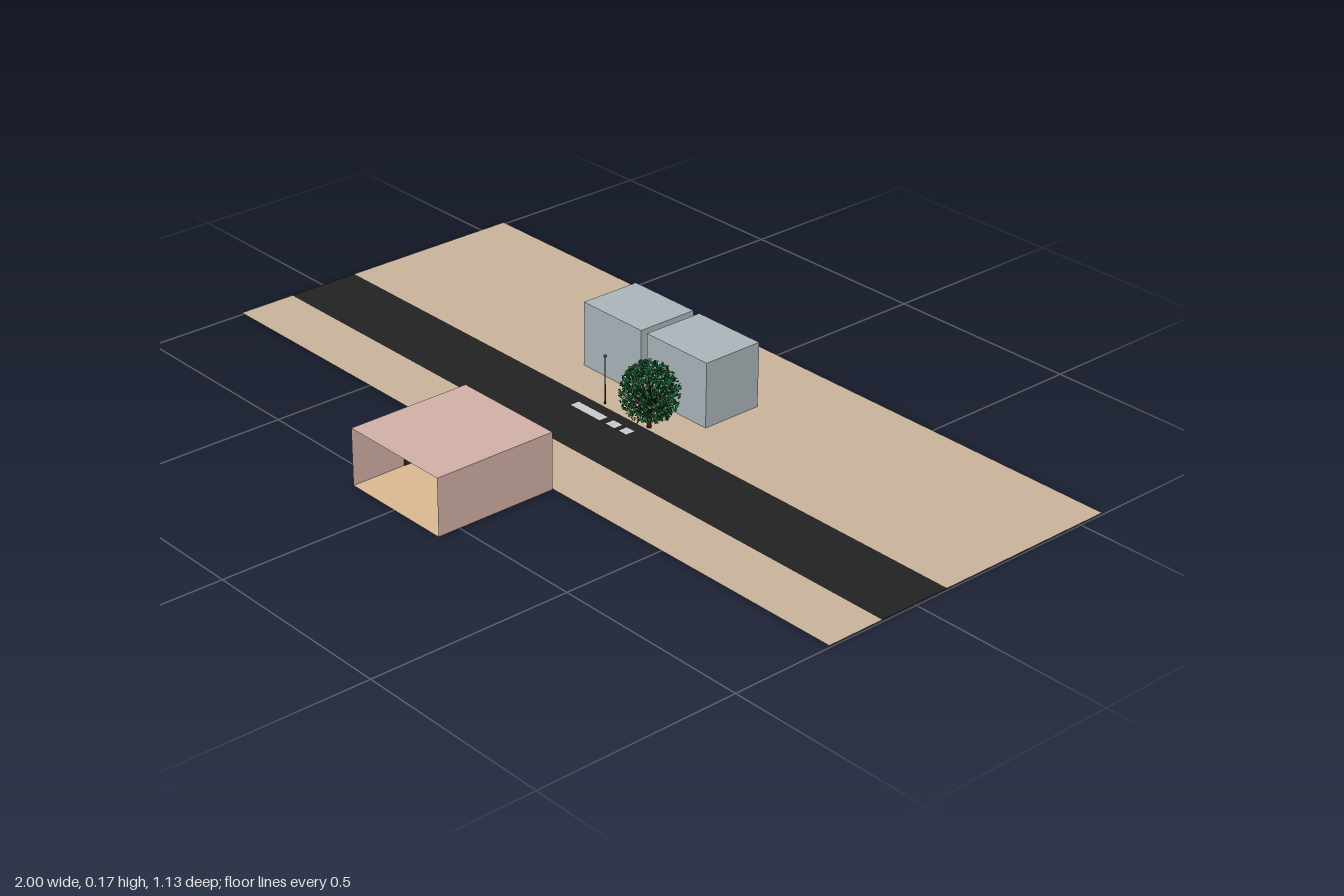
import * as THREE from 'three';
import { mergeGeometries } from 'three/addons/utils/BufferGeometryUtils.js';

const mat = (color, side = THREE.DoubleSide) => new THREE.MeshStandardMaterial({ color, side });
const TAN = mat(0xcab59c), ROAD = mat(0x222222), WHITE = mat(0xcccccc), BLUE = mat(0xabb6bb);
const PINK = mat(0xd2b1a7), FLOOR = mat(0xdcb994), WOOD = mat(0x3a2416), DARK = mat(0x2a2a2a);
const BARK = mat(0x2b1d14), LEAF = mat(0x1f7a40), LEAF_DARK = mat(0x0e4522);

function add(parent, name, geometry, material, x = 0, y = 0, z = 0) {
  const mesh = new THREE.Mesh(geometry, material);
  mesh.name = name;
  mesh.position.set(x, y, z);
  parent.add(mesh);
  return mesh;
}

// Box given by its lower and upper limits on each axis
function box(parent, name, material, [x0, x1], [y0, y1], [z0, z1]) {
  return add(parent, name, new THREE.BoxGeometry(x1 - x0, y1 - y0, z1 - z0), material,
    (x0 + x1) / 2, (y0 + y1) / 2, (z0 + z1) / 2);
}

// Flat horizontal sheet
function sheet(parent, name, material, [x0, x1], y, [z0, z1]) {
  const g = new THREE.PlaneGeometry(x1 - x0, z1 - z0).rotateX(-Math.PI / 2);
  return add(parent, name, g, material, (x0 + x1) / 2, y, (z0 + z1) / 2);
}

function rectangle(Type, x0, x1, y0, y1) {
  return new Type([[x0, y0], [x1, y0], [x1, y1], [x0, y1]].map(p => new THREE.Vector2(...p)));
}

function makeRoom() {
  const room = new THREE.Group();
  room.name = 'room';
  const X = [-0.135, 0.16], Z = [0.25, 0.563], y0 = 0.006, y1 = 0.146;
  sheet(room, 'roomFloor', FLOOR, X, y0, Z);
  sheet(room, 'roof', PINK, X, y1, Z);

  // Rear wall with a window and a doorway; the opposite side stays open
  const wall = rectangle(THREE.Shape, X[0], X[1], y0, y1);
  wall.holes.push(rectangle(THREE.Path, -0.028, 0.052, 0.062, 0.118));
  wall.holes.push(rectangle(THREE.Path, -0.133, -0.076, 0.008, 0.13));
  add(room, 'rearWall', new THREE.ShapeGeometry(wall), PINK, 0, 0, Z[0]);
  const panel = new THREE.PlaneGeometry(0.057, 0.122).rotateY(Math.PI);
  add(room, 'doorwayPanel', panel, mat(0xd2b1a7, THREE.FrontSide), -0.1045, 0.069, Z[0]);
  box(room, 'threshold', DARK, [-0.13, -0.075], [0.004, 0.0055], [0.247, 0.318]);

  // Side walls
  for (const x of X) {
    const g = new THREE.PlaneGeometry(Z[1] - Z[0], y1 - y0).rotateY(Math.PI / 2);
    add(room, 'sideWall', g, PINK, x, (y0 + y1) / 2, (Z[0] + Z[1]) / 2);
  }
  box(room, 'sideDoor', WOOD, [-0.1365, -0.1335], [y0, 0.112], [0.37, 0.425]);

  // Small outside fittings
  add(room, 'wallFitting', new THREE.SphereGeometry(0.003, 8, 6), DARK, -0.07, 0.125, 0.249);
  add(room, 'wallFitting', new THREE.SphereGeometry(0.003, 8, 6), DARK, -0.136, 0.115, 0.31);
  return room;
}

function makeTree() {
  const tree = new THREE.Group();
  tree.name = 'tree';
  let seed = 7;
  const rand = () => (seed = (seed * 16807) % 2147483647) / 2147483647;
  const wood = [], leaves = [[], []];
  const up = new THREE.Vector3(0, 1, 0);

  // Tapered limb between two points
  const limb = (a, b, r0, r1) => {
    const d = b.clone().sub(a), g = new THREE.CylinderGeometry(r1, r0, d.length(), 6);
    g.applyQuaternion(new THREE.Quaternion().setFromUnitVectors(up, d.clone().normalize()));
    const m = a.clone().add(b).multiplyScalar(0.5);
    wood.push(g.translate(m.x, m.y, m.z));
  };
  const crown = (angle, h, k) => {
    const t = (h - 0.035) / 0.125;
    const r = 0.07 * Math.sqrt(Math.max(0, 1 - Math.pow((t - 0.45) / 0.6, 2))) * k;
    return new THREE.Vector3(Math.cos(angle) * r, h, Math.sin(angle) * r);
  };

  limb(new THREE.Vector3(), new THREE.Vector3(0, 0.045, 0), 0.006, 0.004);
  limb(new THREE.Vector3(0, 0.04, 0), new THREE.Vector3(0.004, 0.14, 0.002), 0.0045, 0.001);
  for (let i = 0; i < 44; i++) {
    const start = new THREE.Vector3(0, 0.024 + 0.05 * rand(), 0);
    const tip = crown(i * 2.4, 0.048 + 0.1 * rand(), 0.65 + 0.3 * rand());
    const mid = start.clone().lerp(tip, 0.55);
    mid.y -= 0.003;
    limb(start, mid, 0.0025, 0.0014);
    limb(mid, tip, 0.0014, 0.0005);
  }

  // Scattered leaf blades filling the crown
  for (let i = 0; i < 1500; i++) {
    const p = crown(rand() * Math.PI * 2, 0.036 + 0.124 * rand(), 0.3 + 0.7 * Math.sqrt(rand()));
    const g = new THREE.PlaneGeometry(0.0035 + 0.0025 * rand(), 0.006 + 0.003 * rand());
    g.rotateX(rand() * 6.3).rotateY(rand() * 6.3).rotateZ(rand() * 6.3).translate(p.x, p.y, p.z);
    leaves[i % 3 === 0 ? 1 : 0].push(g);
  }
  add(tree, 'trunkAndBranches', mergeGeometries(wood), BARK);
  add(tree, 'leaves', mergeGeometries(leaves[0]), LEAF);
  add(tree, 'shadedLeaves', mergeGeometries(leaves[1]), LEAF_DARK);
  tree.position.set(0.08, 0, -0.1);
  return tree;
}

export function createModel() {
  const model = new THREE.Group();
  model.name = 'streetScene';

  // Ground and road
  sheet(model, 'rearGround', TAN, [-1, 1], 0.005, [-0.567, -0.09]);
  sheet(model, 'frontGround', TAN, [-1, 1], 0.005, [0.098, 0.247]);
  sheet(model, 'road', ROAD, [-1, 1], 0.005, [-0.09, 0.098]);
  for (const span of [[-0.115, -0.015], [0.005, 0.035], [0.05, 0.075]])
    sheet(model, 'roadMarking', WHITE, span, 0.0065, [-0.06, -0.036]);

  // Two plain buildings behind the road
  for (const span of [[-0.25, -0.052], [-0.032, 0.166]])
    box(model, 'building', BLUE, span, [0.003, 0.167], [-0.352, -0.192]);

  // Street post
  add(model, 'post', new THREE.CylinderGeometry(0.0012, 0.0018, 0.12, 8), DARK, -0.07, 0.065, -0.1);
  add(model, 'postHead', new THREE.SphereGeometry(0.004, 10, 8), DARK, -0.07, 0.126, -0.1);

  model.add(makeTree(), makeRoom());
  return model;
}
